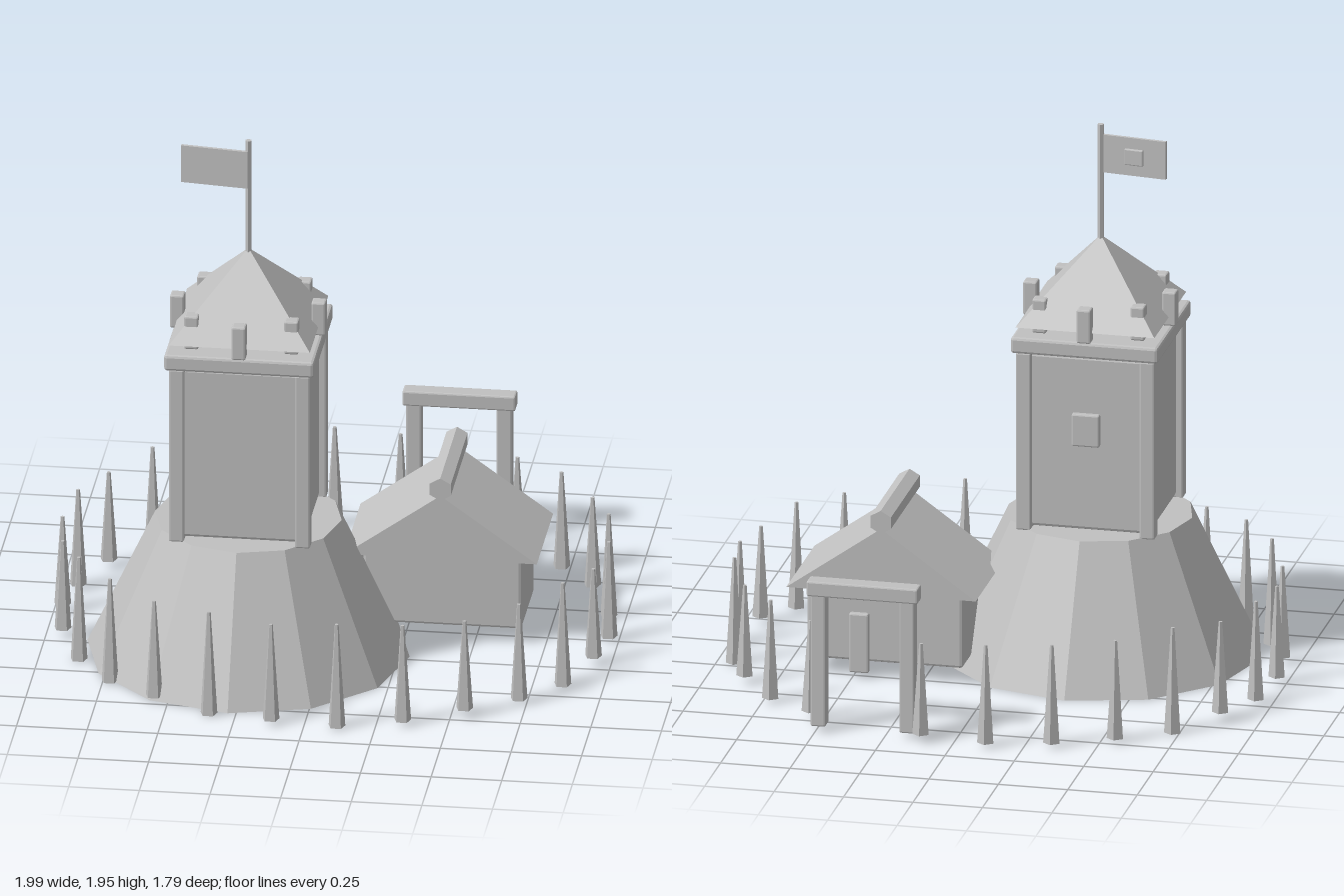
import * as THREE from 'three';
import { RoundedBoxGeometry } from 'three/addons/geometries/RoundedBoxGeometry.js';

export function createModel() {
  const model = new THREE.Group();
  model.name = 'moundFort';
  const grey = new THREE.MeshStandardMaterial({ color: 0xc0c0c0, flatShading: true });
  grey.name = 'plain grey';

  const add = (name, geometry, x, y, z, parent = model) => {
    const mesh = new THREE.Mesh(geometry, grey);
    mesh.name = name;
    mesh.position.set(x, y, z);
    parent.add(mesh);
    return mesh;
  };
  // Chamfered box, placed by the height of its underside
  const block = (name, w, h, d, x, y, z, parent, bevel = 0.006) =>
    add(name, new RoundedBoxGeometry(w, h, d, 1, bevel), x, y + h / 2, z, parent);
  const group = (name, x, y, z) => {
    const g = new THREE.Group();
    g.name = name;
    g.position.set(x, y, z);
    model.add(g);
    return g;
  };

  // Earth mound
  add('mound', new THREE.CylinderGeometry(0.33, 0.57, 0.51, 12), -0.28, 0.255, 0.225);

  // Tower
  const tower = group('tower', -0.28, 0, 0.228);
  block('towerWalls', 0.45, 0.645, 0.45, 0, 0.515, 0, tower, 0.012);
  for (const sx of [-1, 1]) for (const sz of [-1, 1])
    block('cornerPost', 0.054, 0.66, 0.054, sx * 0.223, 0.505, sz * 0.223, tower);
  block('parapetSlab', 0.53, 0.06, 0.53, 0, 1.165, 0, tower, 0.01);
  block('backWindow', 0.1, 0.12, 0.03, 0, 0.83, -0.23, tower);

  // Ring of eight merlons
  for (let i = 0; i < 8; i++) {
    const a = i * Math.PI / 4;
    block('merlon', 0.05, 0.125, 0.05, 0.25 * Math.cos(a), 1.225, 0.25 * Math.sin(a), tower);
  }

  // Pyramid roof
  const roof = new THREE.ConeGeometry(0.25 * Math.SQRT2, 0.28, 4);
  roof.rotateY(Math.PI / 4);
  add('towerRoof', roof, 0, 1.398, 0, tower);

  // Flag
  add('flagPole', new THREE.CylinderGeometry(0.012, 0.012, 0.45, 6), 0, 1.725, 0, tower);
  const flag = group('flag', -0.28, 1.84, 0.236);
  flag.rotation.y = -0.12;
  add('flagCloth', new THREE.BoxGeometry(0.24, 0.14, 0.012), -0.122, 0, 0, flag);
  block('flagEmblem', 0.07, 0.06, 0.012, -0.125, -0.03, -0.009, flag, 0.004);

  // Hut
  const hut = group('hut', 0.386, 0, -0.095);
  block('hutWalls', 0.56, 0.29, 0.33, 0, 0.058, 0, hut, 0.01);
  block('hutDoor', 0.07, 0.22, 0.03, 0.09, 0.02, -0.17, hut);
  const gable = new THREE.Shape([
    new THREE.Vector2(-0.341, 0.335),
    new THREE.Vector2(0.341, 0.335),
    new THREE.Vector2(0, 0.578),
  ]);
  add('hutRoof', new THREE.ExtrudeGeometry(gable, { depth: 0.444, bevelEnabled: false }), 0, 0, -0.225, hut);
  const ridge = new THREE.CylinderGeometry(0.043, 0.043, 0.454, 6);
  ridge.rotateX(Math.PI / 2);
  add('ridgeBeam', ridge, 0, 0.604, -0.003, hut);

  // Gateway
  const gate = group('gate', 0.33, 0, -0.832);
  for (const s of [-1, 1]) block('gatePost', 0.054, 0.5, 0.056, s * 0.16, 0.02, 0, gate);
  block('gateBeam', 0.4, 0.056, 0.064, 0, 0.504, 0, gate);

  // Palisade of sharpened stakes, open at the gate; each digit is a height step
  const heights = '10210121212200102111-' + '-0102';
  const stake = new THREE.CylinderGeometry(0.007, 0.031, 0.39, 5);
  for (let i = 0; i < 26; i++) {
    if (i === 21) continue;
    const a = i / 26 * Math.PI * 2;
    const step = Number(heights[i]) || 0;
    const m = add('stake', stake, -0.002 + 0.967 * Math.cos(a), 0.197, -0.007 + 0.872 * Math.sin(a));
    m.scale.y = (0.335 + 0.0275 * step) / 0.39;
    m.rotation.y = Math.PI;
  }
  return model;
}
